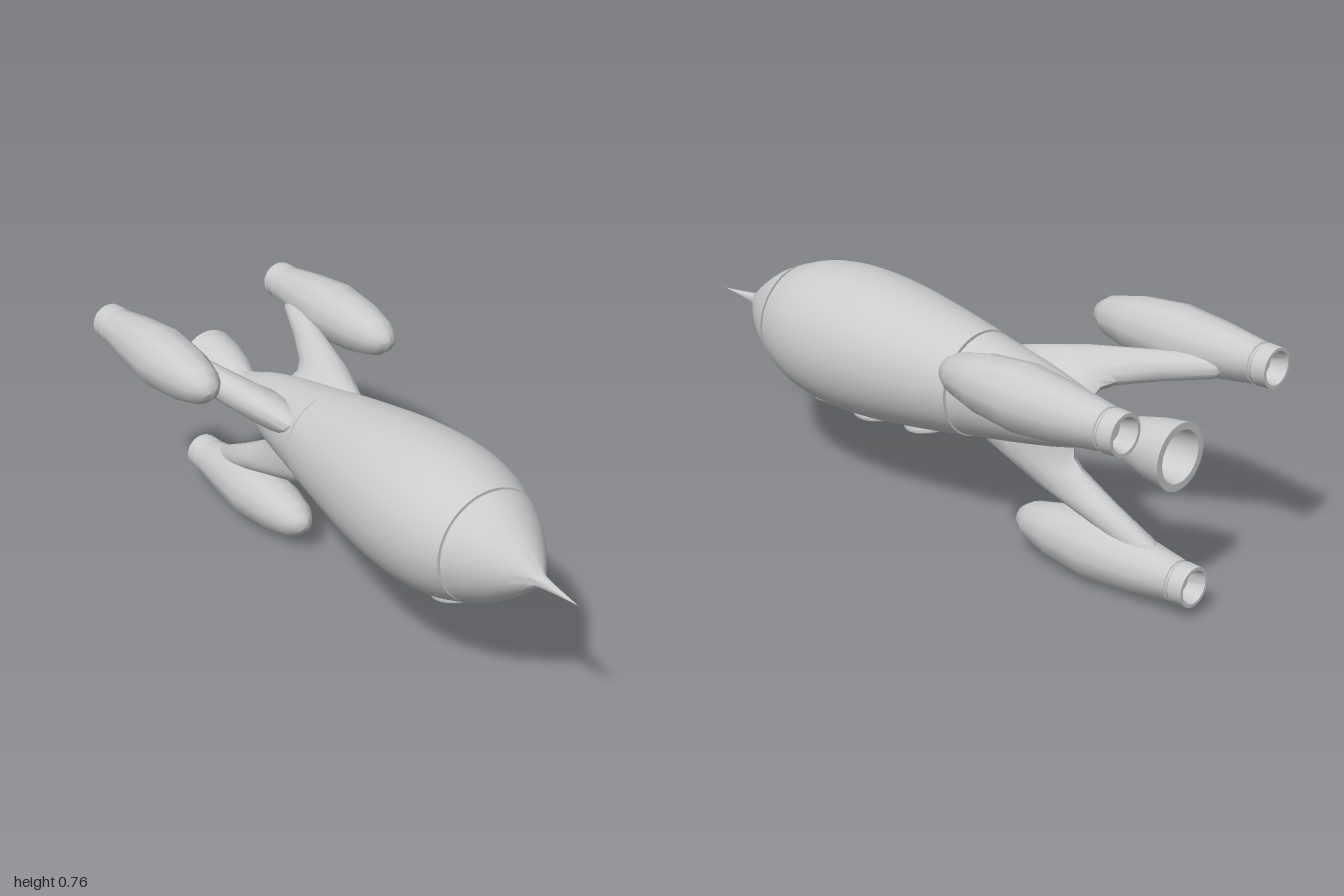
import * as THREE from 'three';
import { toCreasedNormals } from 'three/addons/utils/BufferGeometryUtils.js';

const AXIS_Y = 0.473;   // height of the fuselage axis
const POD_R = 0.373;    // distance of the pods from the axis
const material = new THREE.MeshStandardMaterial({ color: 0xcccccc, side: THREE.DoubleSide });

function part(name, geometry, crease = 0.6) {
  const mesh = new THREE.Mesh(toCreasedNormals(geometry, crease), material);
  mesh.name = name;
  return mesh;
}

// Solid of revolution about z from [z, radius] pairs, listed rear to front on the outside
function turned(name, profile, sides, crease) {
  const pts = profile.map(([z, r]) => new THREE.Vector2(r, z));
  return part(name, new THREE.LatheGeometry(pts, sides).rotateX(Math.PI / 2), crease);
}

// Smooth curve through [z, radius] pairs
function smooth(profile, n) {
  return new THREE.SplineCurve(profile.map(([z, r]) => new THREE.Vector2(z, r)))
    .getPoints(n).map(p => [p.x, Math.max(p.y, 0)]);
}

// Swept strut lofted outward (down -y) from [radius, front z, rear z, half width] sections
function pylonGeometry(sections) {
  const sides = 14;
  const geo = new THREE.CylinderGeometry(1, 1, 1, sides, sections.length - 1, true);
  const pos = geo.attributes.position;
  for (let i = 0; i < pos.count; i++) {
    const [r, front, rear, w] = sections[Math.floor(i / (sides + 1))];
    pos.setXYZ(i, pos.getX(i) * w, -r, (front + rear) / 2 + pos.getZ(i) * (front - rear) / 2);
  }
  return geo;
}

export function createModel() {
  const model = new THREE.Group();
  model.name = 'rocket';
  const ship = new THREE.Group();
  ship.name = 'ship';
  ship.position.y = AXIS_Y;
  model.add(ship);

  // Fuselage with small recessed seams at both ends
  const hull = smooth([[-0.185, 0.163], [0, 0.194], [0.18, 0.219], [0.36, 0.227],
    [0.5, 0.211], [0.605, 0.176]], 28);
  ship.add(turned('fuselage', [[-0.185, 0.15], ...hull, [0.605, 0.165]], 48));

  // Nose cone and spike
  const nose = smooth([[0.615, 0.174], [0.68, 0.14], [0.74, 0.099], [0.79, 0.06], [0.822, 0.032],
    [0.845, 0.019], [0.9, 0.011], [0.997, 0]], 28);
  ship.add(turned('noseCone', [[0.603, 0.167], [0.615, 0.167], ...nose], 40));

  // Tapered tail
  const tail = smooth([[-0.7, 0.04], [-0.65, 0.055], [-0.55, 0.088], [-0.4, 0.122],
    [-0.192, 0.159]], 16);
  ship.add(turned('tailCone', [...tail, [-0.192, 0.153], [-0.18, 0.153]], 32));

  // Main engine bell, hollow at the rear
  ship.add(turned('mainNozzle', [[-0.8, 0], [-0.8, 0.05], [-0.86, 0.068], [-0.93, 0.078],
    [-0.93, 0.1], [-0.85, 0.089], [-0.78, 0.072], [-0.73, 0.053], [-0.7, 0.04], [-0.68, 0.04]], 28));

  // Three booster arms, one below and two above
  const sections = [[0.07, -0.2, -0.55, 0.05], [0.125, -0.19, -0.55, 0.056],
    [0.16, -0.21, -0.585, 0.054], [0.225, -0.38, -0.71, 0.049],
    [0.29, -0.63, -0.85, 0.045], [0.34, -0.7, -0.88, 0.035]];
  ['lower', 'upperLeft', 'upperRight'].forEach((label, i) => {
    const arm = new THREE.Group();
    arm.name = `${label}Booster`;
    arm.rotation.z = i * Math.PI * 2 / 3;
    arm.add(part('pylon', pylonGeometry(sections), 0.9));

    const pod = turned('pod', [[-0.945, 0.05], [-0.94, 0.062], [-0.8, 0.083], [-0.65, 0.098],
      [-0.5, 0.084], [-0.4, 0.06], [-0.36, 0.034], [-0.345, 0.014], [-0.343, 0]], 12, 0.7);
    const exhaust = turned('exhaust', [[-0.95, 0], [-0.95, 0.037], [-1, 0.05], [-1, 0.06],
      [-0.955, 0.062], [-0.947, 0.056], [-0.935, 0.056]], 24);
    pod.position.y = exhaust.position.y = -POD_R;
    arm.add(pod, exhaust);
    ship.add(arm);
  });

  // Row of three round portholes along the belly
  [[0.465, -0.211, 0.17], [0.265, -0.219, 0], [0.035, -0.194, -0.14]].forEach(([z, y, tilt], i) => {
    const porthole = new THREE.Group();
    porthole.name = `porthole${i + 1}`;
    porthole.position.set(0, y, z);
    porthole.rotation.x = -tilt;
    const rim = part('rim', new THREE.TorusGeometry(0.064, 0.015, 10, 36).rotateX(Math.PI / 2), 1);
    const glass = part('glass', new THREE.SphereGeometry(0.055, 28, 14).scale(1, 0.26, 1), 1);
    porthole.add(rim, glass);
    ship.add(porthole);
  });

  return model;
}
